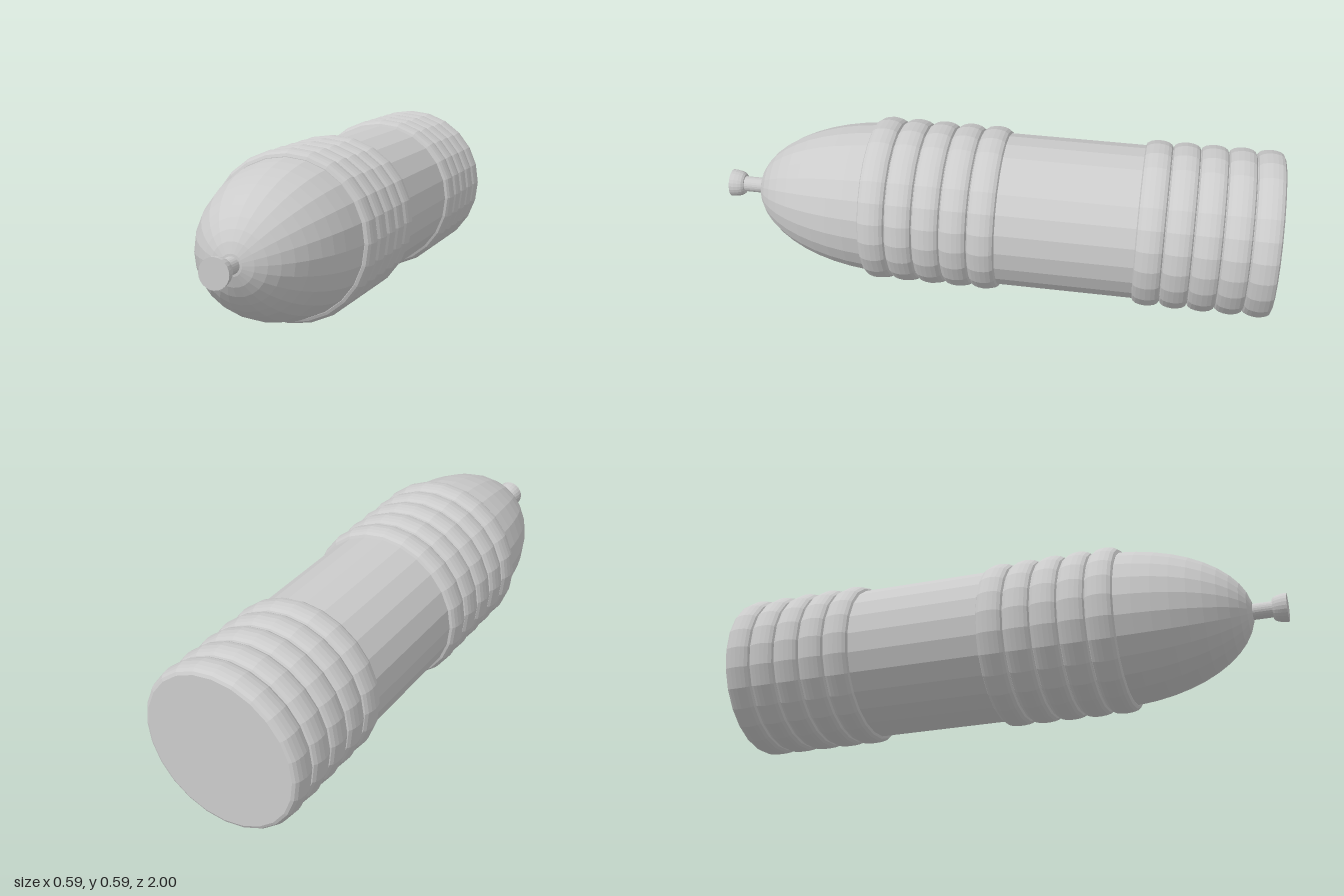
import * as THREE from 'three';

const SIDES = 24;
const AXIS_Y = 0.297;

export function createModel() {
  const group = new THREE.Group();
  const material = new THREE.MeshStandardMaterial({ color: 0xcccccc, flatShading: true });

  // Turn a [radius, z] profile, listed from back to front, around the long axis
  function turned(name, profile) {
    const points = profile.map(([r, z]) => new THREE.Vector2(r, z));
    const geometry = new THREE.LatheGeometry(points, SIDES).rotateX(Math.PI / 2);
    const mesh = new THREE.Mesh(geometry, material);
    mesh.name = name;
    mesh.position.y = AXIS_Y;
    group.add(mesh);
  }

  // Plain barrel between the two sets of rings
  turned('barrel', [[0.275, -0.98], [0.275, 0.45]]);

  // Two sets of five rounded rings
  const width = 0.097;
  const bulge = [[0.274, 0], [0.284, 0.05], [0.291, 0.16], [0.295, 0.31], [0.297, 0.5],
    [0.295, 0.69], [0.291, 0.84], [0.284, 0.95], [0.274, 1]];
  for (const [name, start] of [['rearRing', -1], ['frontRing', -0.034]]) {
    for (let i = 0; i < 5; i++) {
      const z = start + i * width;
      const profile = bulge.map(([r, t]) => [r, z + t * width]);
      turned(name + (i + 1), [[0, z], ...profile, [0, z + width]]);
    }
  }

  // Half-ellipsoid nose
  const nose = [];
  for (let i = 0; i <= 12; i++) {
    const a = (i / 12) * Math.PI / 2;
    nose.push([Math.max(0, 0.275 * Math.cos(a)), 0.38 + 0.505 * Math.sin(a)]);
  }
  turned('nose', nose);

  // Thin stem and flared button at the tip
  turned('stem', [[0.028, 0.86], [0.028, 0.96]]);
  turned('button', [[0, 0.95], [0.036, 0.95], [0.042, 0.957], [0.046, 0.968],
    [0.049, 0.983], [0.05, 1], [0, 1]]);

  return group;
}
